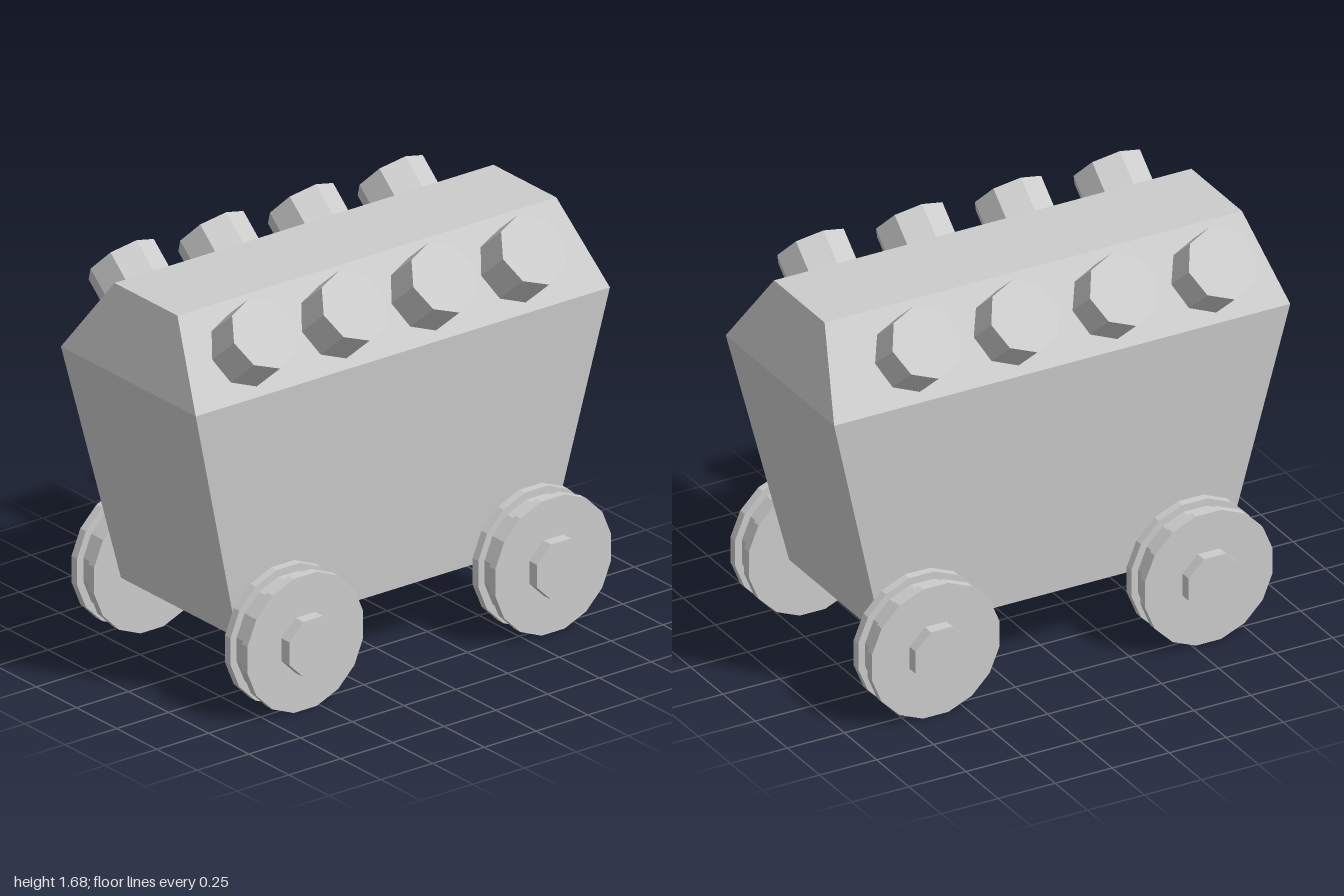
import * as THREE from 'three';

const material = new THREE.MeshStandardMaterial({ color: 0xcccccc, flatShading: true });

function addMesh(parent, geometry, name) {
  const mesh = new THREE.Mesh(geometry, material);
  mesh.name = name;
  parent.add(mesh);
  return mesh;
}

// Box with three levels, each scaled to its own half width, height and half depth
function bodyGeometry() {
  const levels = [[0.755, 0.283, 0.362], [1, 1.293, 0.42], [0.915, 1.613, 0.196]];
  const box = new THREE.BoxGeometry(2, 2, 2, 1, 2, 1);
  const p = box.attributes.position;
  for (let i = 0; i < p.count; i++) {
    const [w, y, d] = levels[Math.round(p.getY(i)) + 1];
    p.setXYZ(i, Math.sign(p.getX(i)) * w, y, Math.sign(p.getZ(i)) * d);
  }
  const flat = box.toNonIndexed();
  flat.computeVertexNormals();
  return flat;
}

// Sixteen-sided wheel with a grooved rim; its axis is y, measured from the cart's centre line
function wheelGeometry() {
  const rim = 0.285, groove = 0.254;
  const profile = [
    [0, 0.407], [rim, 0.407], [rim, 0.442], [groove, 0.442],
    [groove, 0.513], [rim, 0.513], [rim, 0.548], [0, 0.548],
  ].map(([x, y]) => new THREE.Vector2(x, y));
  return new THREE.LatheGeometry(profile, 16, Math.PI / 16);
}

// Octagonal prism with flats facing up and sideways
function octagon(radius, length) {
  return new THREE.CylinderGeometry(radius, radius, length, 8, 1, false, Math.PI / 8);
}

export function createModel() {
  const model = new THREE.Group();
  model.name = 'cart';
  addMesh(model, bodyGeometry(), 'body');

  // Axles with a wheel and hub at both ends
  const wheelShape = wheelGeometry();
  const hubShape = octagon(0.124, 0.05);
  const axleShape = octagon(0.043, 0.83);
  for (const x of [-0.57, 0.627]) {
    const axle = addMesh(model, axleShape, 'axle');
    axle.position.set(x, 0.283, 0);
    axle.rotation.x = Math.PI / 2;
    for (const side of [1, -1]) {
      const wheel = new THREE.Group();
      wheel.name = side > 0 ? 'frontWheel' : 'backWheel';
      addMesh(wheel, wheelShape, 'wheelRim');
      addMesh(wheel, hubShape, 'wheelHub').position.y = 0.571;
      wheel.position.set(x, 0.28, 0);
      wheel.rotation.x = side * Math.PI / 2;
      model.add(wheel);
    }
  }

  // Rows of octagonal studs on the two sloping upper panels
  const length = 0.26, tilt = THREE.MathUtils.degToRad(49.5);
  const studShape = new THREE.CylinderGeometry(0.148, 0.148, length, 8);
  for (const side of [1, -1]) {
    for (let i = 0; i < 4; i++) {
      const stud = addMesh(model, studShape, side > 0 ? 'frontStud' : 'backStud');
      stud.rotation.x = side * tilt;
      stud.position.set(
        -0.688 + i * 0.433,
        1.564 - Math.cos(tilt) * length / 2,
        side * (0.447 - Math.sin(tilt) * length / 2),
      );
    }
  }
  return model;
}
